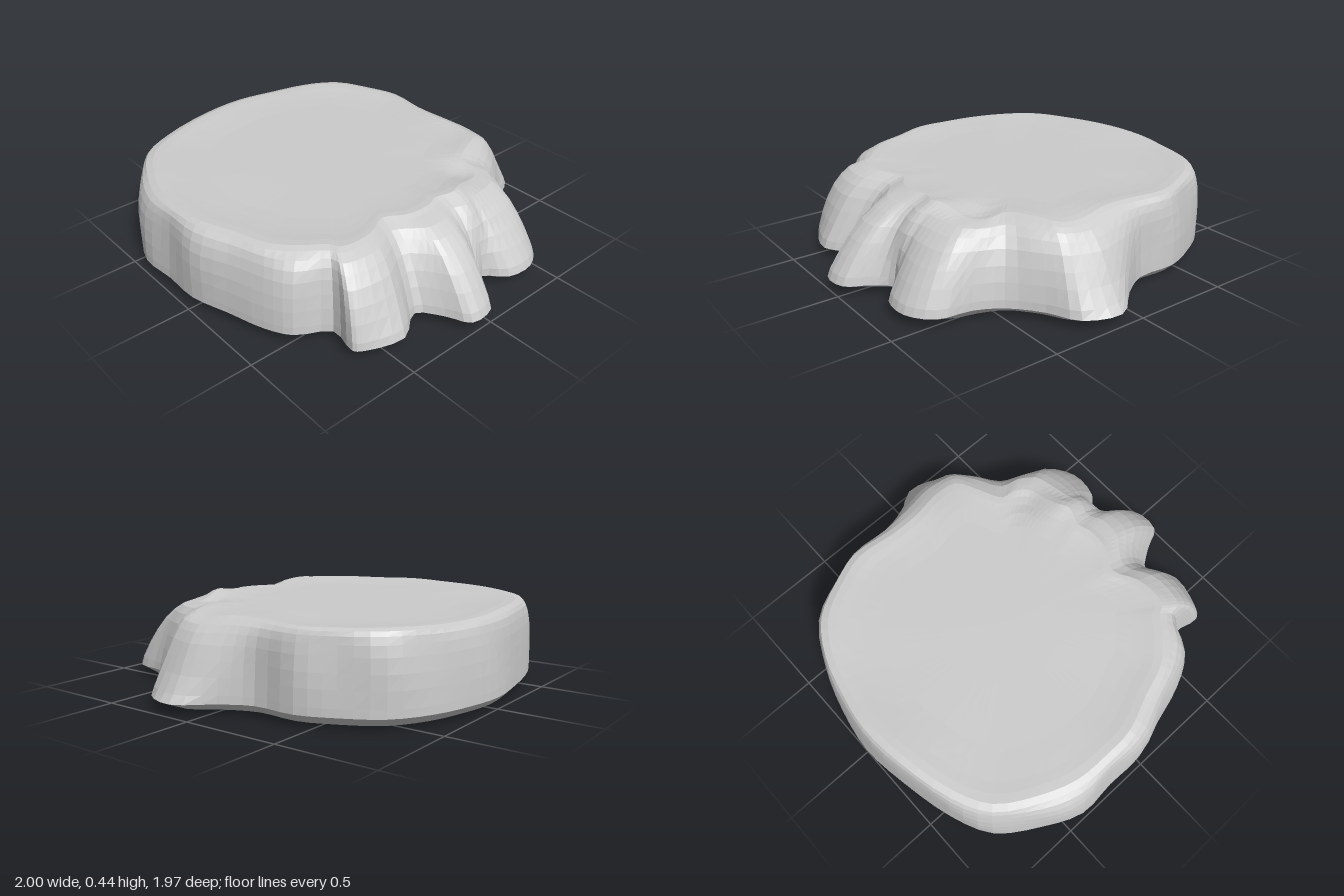
import * as THREE from 'three';

// Outline, clockwise from the back root: foot x, foot z, top edge x, top edge z
const OUTLINE = [
  [0.12, -0.99, 0.13, -0.74], [0.30, -0.93, 0.25, -0.72], [0.38, -0.78, 0.31, -0.61],
  [0.50, -0.64, 0.38, -0.48], [0.63, -0.57, 0.46, -0.47], [0.80, -0.54, 0.53, -0.42],
  [0.89, -0.42, 0.55, -0.33], [0.88, -0.27, 0.57, -0.25], [0.79, -0.17, 0.60, -0.18],
  [0.88, -0.08, 0.57, -0.08], [0.98, -0.02, 0.59, -0.02], [0.99, 0.12, 0.59, 0.08],
  [0.88, 0.18, 0.57, 0.14], [0.77, 0.27, 0.52, 0.23], [0.86, 0.42, 0.58, 0.36],
  [0.81, 0.60, 0.59, 0.49], [0.77, 0.65, 0.57, 0.55], [0.62, 0.63, 0.53, 0.57],
  [0.52, 0.78, 0.44, 0.68], [0.40, 0.85, 0.33, 0.77], [0.20, 0.91, 0.16, 0.83],
  [0.00, 0.97, -0.02, 0.90], [-0.20, 0.97, -0.20, 0.91], [-0.40, 0.98, -0.38, 0.90],
  [-0.60, 0.89, -0.57, 0.83], [-0.80, 0.75, -0.76, 0.71], [-0.90, 0.55, -0.86, 0.53],
  [-0.97, 0.25, -0.93, 0.24], [-1.00, 0.00, -0.95, 0.00], [-0.97, -0.20, -0.92, -0.19],
  [-0.90, -0.42, -0.86, -0.40], [-0.78, -0.60, -0.75, -0.57], [-0.60, -0.71, -0.58, -0.67],
  [-0.42, -0.78, -0.41, -0.73], [-0.20, -0.78, -0.20, -0.71], [-0.05, -0.86, -0.04, -0.71],
];
const SEGMENTS = OUTLINE.length * 3;
const CENTRE = new THREE.Vector3(-0.1, 0, 0.06);
const { smoothstep, lerp } = THREE.MathUtils;

// Closed smooth loop through one pair of outline columns
function loop(column) {
  const points = OUTLINE.map((p) => new THREE.Vector3(p[column], 0, p[column + 1]));
  const curve = new THREE.CatmullRomCurve3(points, true, 'centripetal');
  return Array.from({ length: SEGMENTS }, (_, i) => curve.getPoint(i / SEGMENTS));
}

// Round bump of height 1 at x, z
function bump(p, x, z, radius) {
  return Math.exp(-((p.x - x) ** 2 + (p.z - z) ** 2) / radius ** 2);
}

// Uneven top: hollow behind the back side root, a crest beside it, a worn back root
function relief(p) {
  return 0.005 * Math.sin(p.x * 7 + 1) * Math.sin(p.z * 8)
    - 0.035 * bump(p, 0.46, -0.37, 0.1)
    + 0.01 * bump(p, 0.57, -0.2, 0.06)
    - 0.02 * bump(p, 0.16, -0.76, 0.14);
}

// Joins rings of equal length into a closed skin
function loft(name, rings, material) {
  const positions = rings.flat().flatMap((p) => [p.x, p.y, p.z]);
  const index = [];
  for (let r = 0; r < rings.length - 1; r++) {
    for (let i = 0; i < SEGMENTS; i++) {
      const j = (i + 1) % SEGMENTS;
      const a = r * SEGMENTS + i, b = r * SEGMENTS + j;
      const c = a + SEGMENTS, d = b + SEGMENTS;
      index.push(a, c, b, b, c, d);
    }
  }
  const geometry = new THREE.BufferGeometry();
  geometry.setAttribute('position', new THREE.Float32BufferAttribute(positions, 3));
  geometry.setIndex(index);
  geometry.computeVertexNormals();
  const mesh = new THREE.Mesh(geometry, material);
  mesh.name = name;
  return mesh;
}

export function createModel() {
  const group = new THREE.Group();
  group.name = 'treeStump';
  const material = new THREE.MeshStandardMaterial({ color: 0xcccccc, flatShading: true });
  const foot = loop(0);
  const edge = loop(2);

  // Underside: cut back beneath the roots, sagging a little at the back left
  const soleRing = foot.map((p, i) => {
    const q = p.clone().lerp(edge[i], 0.28).lerp(CENTRE, 0.03);
    q.y = 0.02 - 0.016 * bump(q, 0.5, -0.5, 0.35);
    return q;
  });
  const soleCentre = foot.map(() => new THREE.Vector3(CENTRE.x, 0.02, CENTRE.z));
  group.add(loft('base', [soleCentre, soleRing], material));

  // Bark: walls stay upright then round over, side roots slope, the back root runs straight
  const levels = [[0.06, 0], [0.1, 0.04], [0.18, 0.17], [0.25, 0.3], [0.32, 0.46],
    [0.37, 0.63], [0.405, 0.8], [0.425, 1]];
  const bark = levels.map(([y, t]) => foot.map((p, i) => {
    const slope = smoothstep(p.distanceTo(edge[i]), 0.12, 0.28);
    const power = lerp(lerp(2, 1, slope), 0.65, bump(p, 0.17, -0.95, 0.22));
    const q = p.clone().lerp(edge[i], t ** power);
    const dent = Math.sin(Math.PI * t) * 0.012;
    q.lerp(CENTRE, dent * (0.6 + Math.sin(p.x * 11 + 1) * Math.sin(p.z * 10 + y * 6)));
    q.y = y + relief(q) * t;
    return q;
  }));
  group.add(loft('barkAndRoots', [soleRing, ...bark], material));

  // Cut top: low rim, then a nearly flat face
  const rim = bark[bark.length - 1];
  const top = [[0.04, 0.435], [0.09, 0.434], [0.15, 0.43], [0.22, 0.427], [0.32, 0.424],
    [0.65, 0.424], [1, 0.424]].map(([t, y]) => rim.map((p) => {
    const q = p.clone().lerp(CENTRE, t);
    q.y = y + relief(q) * Math.max(0, 1 - t * 1.5);
    return q;
  }));
  group.add(loft('cutTop', [rim, ...top], material));

  return group;
}
